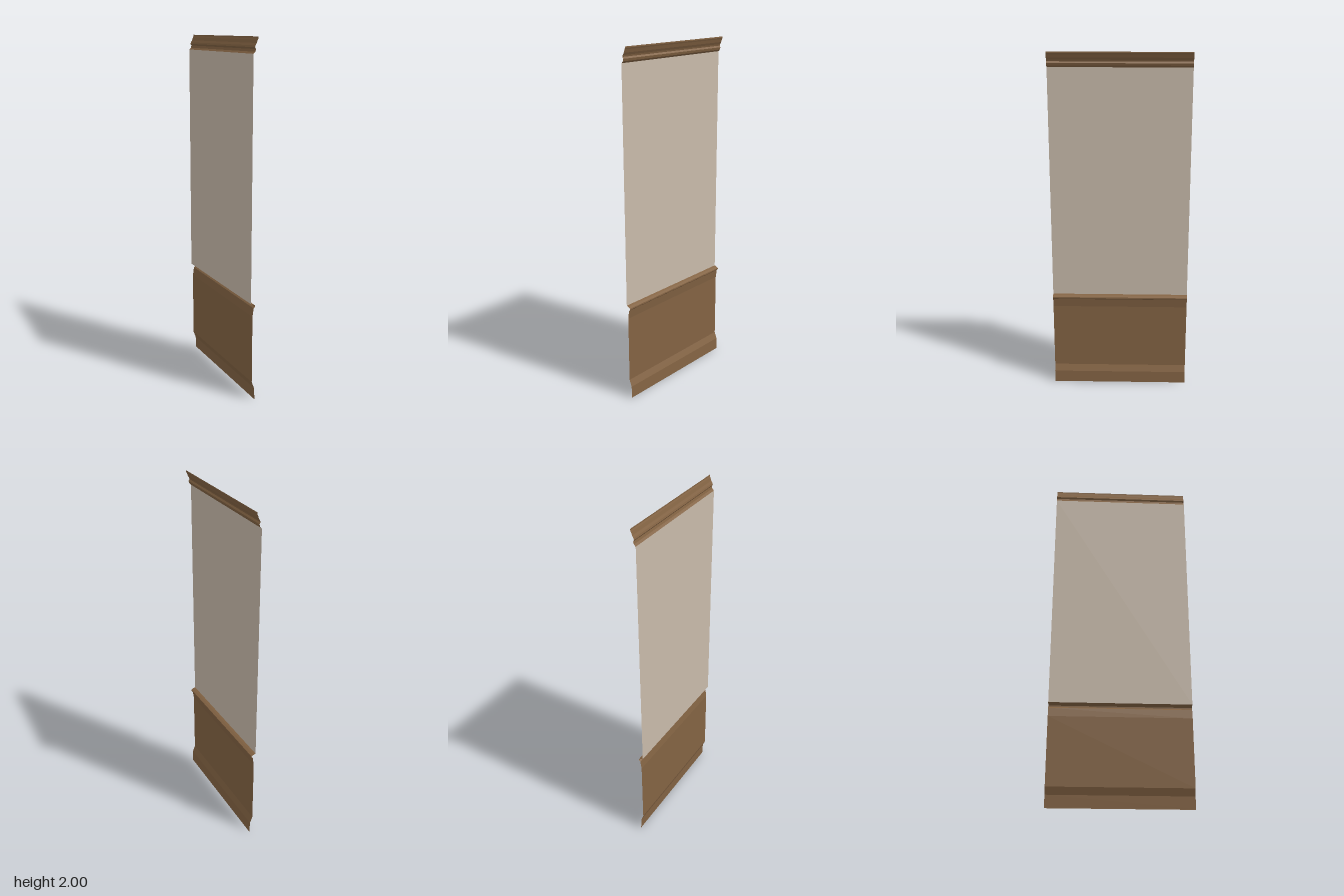
import * as THREE from 'three';

const HALF = 0.4; // half the panel width along z

// Flat-faceted strip swept along z from an (x, y) profile listed bottom to top
function ribbon(name, profile, material) {
  const pos = [];
  for (let i = 0; i < profile.length - 1; i++) {
    const [x0, y0] = profile[i], [x1, y1] = profile[i + 1];
    pos.push(x0, y0, HALF, x0, y0, -HALF, x1, y1, -HALF);
    pos.push(x0, y0, HALF, x1, y1, -HALF, x1, y1, HALF);
  }
  const geo = new THREE.BufferGeometry();
  geo.setAttribute('position', new THREE.Float32BufferAttribute(pos, 3));
  geo.computeVertexNormals();
  const mesh = new THREE.Mesh(geo, material);
  mesh.name = name;
  return mesh;
}

export function createModel() {
  const wood = new THREE.MeshStandardMaterial({ color: 0x836343, side: THREE.DoubleSide });
  wood.name = 'brown wood';
  const plaster = new THREE.MeshStandardMaterial({ color: 0xc8baaa, side: THREE.DoubleSide });
  plaster.name = 'beige wall';

  const group = new THREE.Group();
  group.name = 'wallPanel';
  group.add(
    // skirting with a sloped upper edge
    ribbon('baseboard', [[0.014, 0], [0.014, 0.005], [0.011, 0.07], [-0.004, 0.11]], wood),
    ribbon('wainscot', [[-0.004, 0.11], [-0.004, 0.5]], wood),
    // rail flaring outward, with a sloping top ledge
    ribbon('chairRail', [[-0.004, 0.5], [0.003, 0.55], [0.012, 0.558],
      [0.012, 0.566], [-0.002, 0.573], [-0.014, 0.577]], wood),
    ribbon('wall', [[-0.014, 0.577], [-0.014, 1.915]], plaster),
    // crown: lower bead, small notch, then a flared cove
    ribbon('crownMoulding', [[-0.014, 1.915], [-0.004, 1.925], [0, 1.938], [-0.006, 1.947],
      [-0.003, 1.956], [0.004, 1.968], [0.01, 1.985], [0.014, 1.993], [0.014, 2]], wood),
  );
  return group;
}
